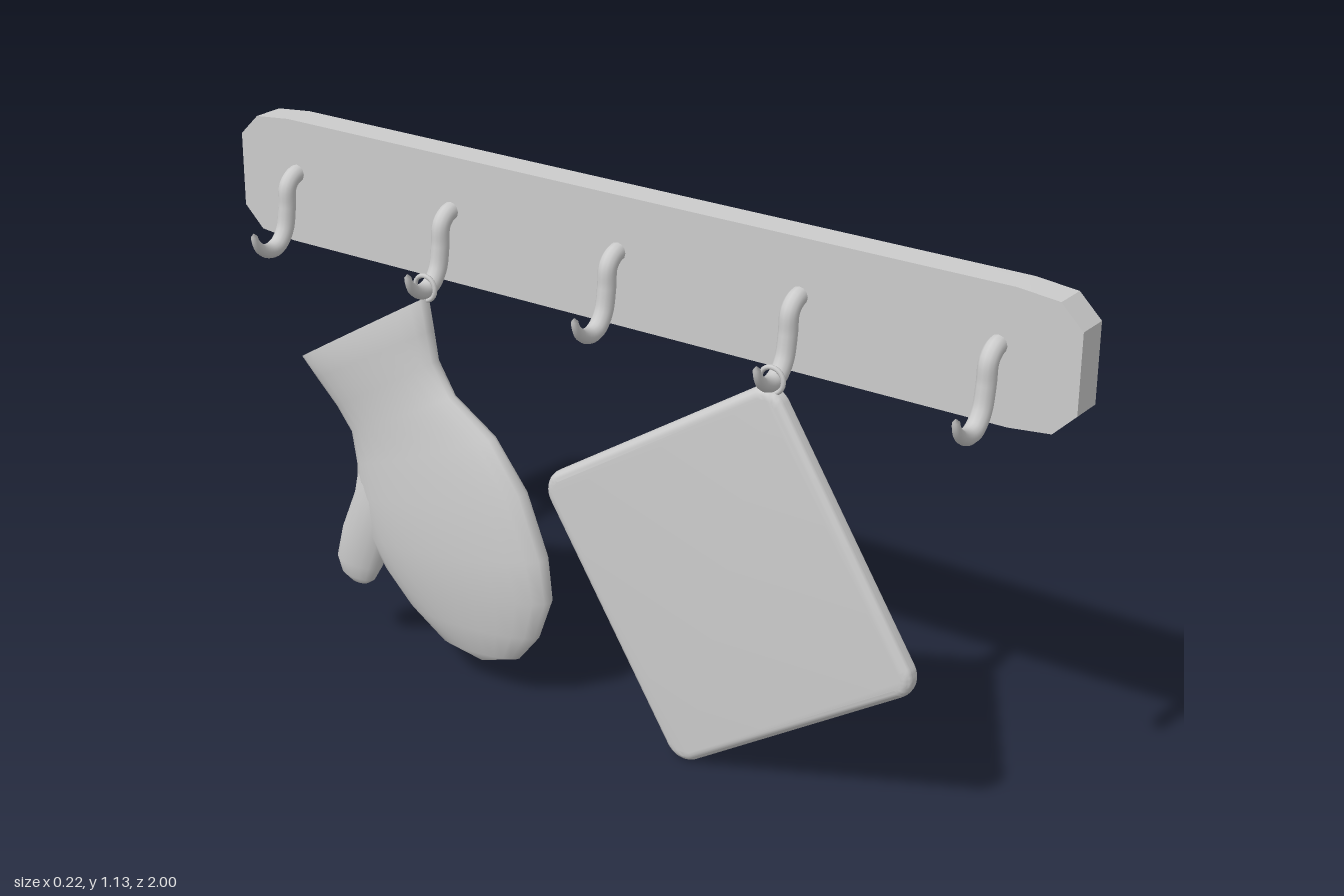
import * as THREE from 'three';
import { toCreasedNormals } from 'three/addons/utils/BufferGeometryUtils.js';

const grey = new THREE.MeshStandardMaterial({ color: 0xcccccc });
const clothGrey = new THREE.MeshStandardMaterial({ color: 0xcccccc, side: THREE.DoubleSide });

function part(name, geometry, material = grey) {
  const mesh = new THREE.Mesh(geometry, material);
  mesh.name = name;
  return mesh;
}

// Extrudes a (z, y) outline along x, centred on x = 0
function slab(shape, depth, options, tilt = 0) {
  const g = new THREE.ExtrudeGeometry(shape, { depth, ...options });
  return toCreasedNormals(g.translate(0, 0, -depth / 2).rotateZ(tilt).rotateY(-Math.PI / 2), 0.6);
}

// Surface through elliptical sections [z1, y1, z2, y2, halfThickness], all around x = 0
function loft(sections, sides = 24) {
  const positions = [], index = [];
  for (const [z1, y1, z2, y2, h] of sections) {
    for (let i = 0; i < sides; i++) {
      const a = (i / sides) * Math.PI * 2, c = Math.cos(a) / 2;
      positions.push(h * Math.sin(a), (y1 + y2) / 2 + (y2 - y1) * c, (z1 + z2) / 2 + (z2 - z1) * c);
    }
  }
  for (let r = 0; r < sections.length - 1; r++) {
    for (let i = 0; i < sides; i++) {
      const p = r * sides + i, t = r * sides + (i + 1) % sides;
      index.push(p, t, p + sides, t, t + sides, p + sides);
    }
  }
  const g = new THREE.BufferGeometry();
  g.setAttribute('position', new THREE.Float32BufferAttribute(positions, 3));
  g.setIndex(index);
  g.computeVertexNormals();
  return g;
}

// S-shaped hook, thinning to its tip
function hookGeometry() {
  const curve = new THREE.CatmullRomCurve3([
    [0.06, 1.02], [0.03, 1.017], [0.009, 0.998], [0.004, 0.955], [-0.006, 0.908],
    [-0.028, 0.88], [-0.055, 0.873], [-0.083, 0.884], [-0.098, 0.905], [-0.102, 0.924],
  ].map(([x, y]) => new THREE.Vector3(x, y, 0)));
  const steps = 36, sides = 12;
  const g = new THREE.TubeGeometry(curve, steps, 0.019, sides);
  const pos = g.attributes.position, v = new THREE.Vector3();
  for (let i = 0; i <= steps; i++) {
    const t = i / steps, centre = curve.getPointAt(t);
    const k = i === steps ? 0 : 1 - 0.62 * THREE.MathUtils.smoothstep(t, 0.65, 1);
    for (let j = 0; j <= sides; j++) {
      const n = i * (sides + 1) + j;
      v.fromBufferAttribute(pos, n).sub(centre).multiplyScalar(k).add(centre);
      pos.setXYZ(n, v.x, v.y, v.z);
    }
  }
  return g;
}

// Square with rounded corners
function roundedSquare(size, r) {
  const h = size / 2, k = h - r, s = new THREE.Shape();
  s.absarc(k, k, r, 0, Math.PI / 2);
  s.absarc(-k, k, r, Math.PI / 2, Math.PI);
  s.absarc(-k, -k, r, Math.PI, Math.PI * 1.5);
  s.absarc(k, -k, r, Math.PI * 1.5, Math.PI * 2);
  s.closePath();
  return s;
}

function makeMitt() {
  const mitt = new THREE.Group();
  mitt.name = 'ovenMitt';
  const outer = [
    [-0.42, 0.86, -0.765, 0.652, 0.054],
    [-0.408, 0.79, -0.725, 0.612, 0.052],
    [-0.397, 0.725, -0.672, 0.56, 0.047],
    [-0.354, 0.657, -0.634, 0.51, 0.043],
    [-0.25, 0.59, -0.622, 0.44, 0.05],
    [-0.17, 0.485, -0.622, 0.365, 0.059],
    [-0.118, 0.35, -0.595, 0.28, 0.062],
    [-0.107, 0.255, -0.55, 0.212, 0.055],
    [-0.14, 0.164, -0.485, 0.145, 0.043],
    [-0.193, 0.098, -0.4, 0.086, 0.026],
    [-0.295, 0.062, -0.295, 0.062, 0],
  ];
  // Lining: the same sections drawn inwards, from the fingers back up to the rim
  const lining = outer.map(([z1, y1, z2, y2, h]) => {
    const e = 0.05, dz = (z2 - z1) * e, dy = (y2 - y1) * e;
    return [z1 + dz, y1 + dy, z2 - dz, y2 - dy, h * 0.82];
  }).slice(0, 8).reverse();
  const [z1, y1, z2, y2] = lining[0];
  const mz = (z1 + z2) / 2, my = (y1 + y2) / 2;
  lining.unshift([mz, my, mz, my, 0]);
  mitt.add(part('mittBody', loft([...lining, ...outer]), clothGrey));
  mitt.add(part('mittThumb', loft([
    [-0.5, 0.46, -0.612, 0.47, 0.022],
    [-0.505, 0.37, -0.629, 0.375, 0.038],
    [-0.54, 0.27, -0.669, 0.282, 0.036],
    [-0.572, 0.2, -0.69, 0.205, 0.03],
    [-0.592, 0.166, -0.68, 0.17, 0.021],
    [-0.612, 0.152, -0.656, 0.154, 0.011],
    [-0.632, 0.147, -0.632, 0.147, 0],
  ], 16), clothGrey));
  mitt.position.x = -0.05;
  return mitt;
}

export function createModel() {
  const model = new THREE.Group();
  model.name = 'hookRack';

  // Long board with chamfered corners
  const corner = [[1, 0.08], [0.953, 0.126], [0.865, 0.135]];
  const flipped = [...corner].reverse();
  const outline = [
    ...corner, ...flipped.map(([z, y]) => [-z, y]),
    ...corner.map(([z, y]) => [-z, -y]), ...flipped.map(([z, y]) => [z, -y]),
  ].map(([z, y]) => new THREE.Vector2(z, y));
  const board = part('board', slab(new THREE.Shape(outline), 0.07, { bevelEnabled: false }));
  board.position.set(0.075, 1, 0);
  model.add(board);

  // Row of five hooks; the second and fourth carry a hanging loop
  const hook = hookGeometry();
  for (let i = -2; i <= 2; i++) {
    const z = i * 0.42 - 0.005;
    const h = part('hook', hook);
    h.position.z = z;
    model.add(h);
    if (Math.abs(i) === 1) {
      const loop = part('hangingLoop', new THREE.TorusGeometry(0.026, 0.005, 8, 24).rotateY(Math.PI / 2));
      loop.position.set(-0.048, 0.878, z);
      model.add(loop);
    }
  }

  // Padded square hanging by one corner
  const pad = part('potHolder', slab(roundedSquare(0.611, 0.03), 0.006, {
    bevelSize: 0.02, bevelThickness: 0.018, bevelSegments: 5, curveSegments: 6,
  }, THREE.MathUtils.degToRad(32.3)));
  pad.position.set(-0.043, 0.432, 0.319);
  model.add(pad);

  model.add(makeMitt());
  return model;
}
